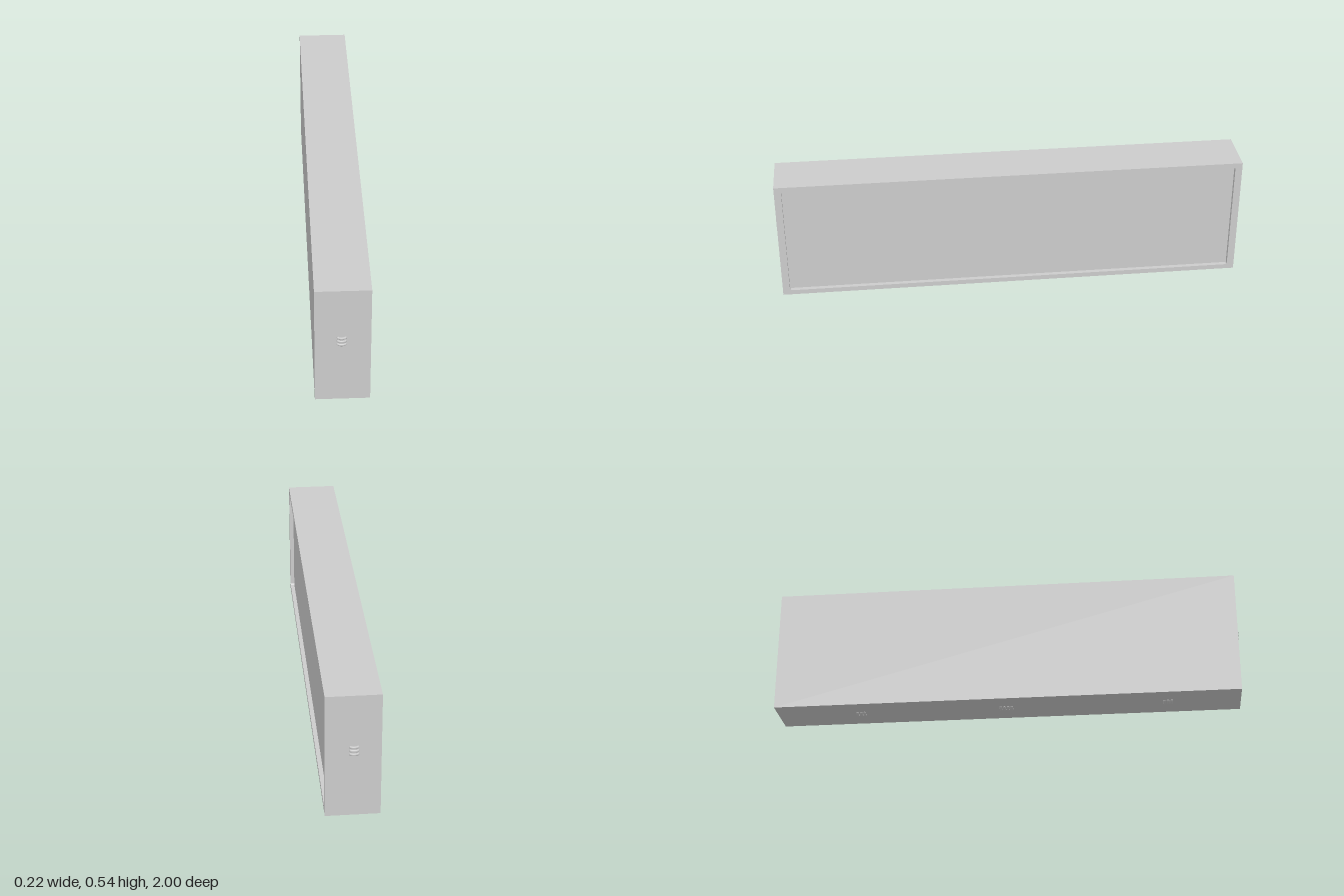
import * as THREE from 'three';

const W = 0.216, BOTTOM = 0.009, TOP = 0.541, HALF = 0.991; // case extents
const RECESS = 0.018, MID = (BOTTOM + TOP) / 2;
const PIN_X = -0.004, PITCH = 0.0155;

const material = new THREE.MeshStandardMaterial({ color: 0xcccccc });

function add(parent, geometry, name) {
  const mesh = new THREE.Mesh(geometry, material);
  mesh.name = name;
  parent.add(mesh);
  return mesh;
}

// Rectangle with small rounded corners, traced as a path
function roundedRect(x0, y0, x1, y1, r) {
  const p = new THREE.Path();
  p.absarc(x1 - r, y1 - r, r, 0, Math.PI / 2);
  p.absarc(x0 + r, y1 - r, r, Math.PI / 2, Math.PI);
  p.absarc(x0 + r, y0 + r, r, Math.PI, Math.PI * 1.5);
  p.absarc(x1 - r, y0 + r, r, Math.PI * 1.5, Math.PI * 2);
  p.closePath();
  return p;
}

// Row of bowed contact springs, rising along local +y and spaced along local z
function contactGroup(name, count) {
  const group = new THREE.Group();
  group.name = name;
  const geometry = new THREE.TorusGeometry(0.014, 0.0055, 12, 24, Math.PI);
  geometry.scale(1, 0.009 / 0.0195, 1);
  for (let i = 0; i < count; i++) {
    add(group, geometry, 'contactSpring').position.z = (i - (count - 1) / 2) * PITCH;
  }
  return group;
}

export function createModel() {
  const model = new THREE.Group();
  model.name = 'panelCase';

  // Solid body behind the recessed face
  const body = add(model, new THREE.BoxGeometry(W - RECESS, TOP - BOTTOM, HALF * 2), 'body');
  body.position.set(-RECESS / 2, MID, 0);

  // Raised rim around the recessed face on the +x side
  const rim = new THREE.Shape([
    new THREE.Vector2(-HALF, BOTTOM), new THREE.Vector2(HALF, BOTTOM),
    new THREE.Vector2(HALF, TOP), new THREE.Vector2(-HALF, TOP),
  ]);
  rim.holes.push(roundedRect(-0.961, 0.03, 0.961, 0.52, 0.008));
  const rimGeometry = new THREE.ExtrudeGeometry(rim, { depth: RECESS, bevelEnabled: false, curveSegments: 6 });
  rimGeometry.rotateY(Math.PI / 2);
  add(model, rimGeometry, 'rim').position.x = W / 2 - RECESS;

  // Contacts on both ends
  for (const side of [1, -1]) {
    const end = contactGroup(side > 0 ? 'frontContacts' : 'backContacts', 3);
    end.rotation.x = side * Math.PI / 2;
    end.position.set(PIN_X, 0.302, side * HALF);
    model.add(end);
  }

  // Contacts along the underside
  for (const [z, count] of [[0.685, 3], [-0.002, 4], [-0.63, 3]]) {
    const under = contactGroup('undersideContacts', count);
    under.rotation.x = Math.PI;
    under.position.set(PIN_X, BOTTOM, z);
    model.add(under);
  }
  return model;
}
